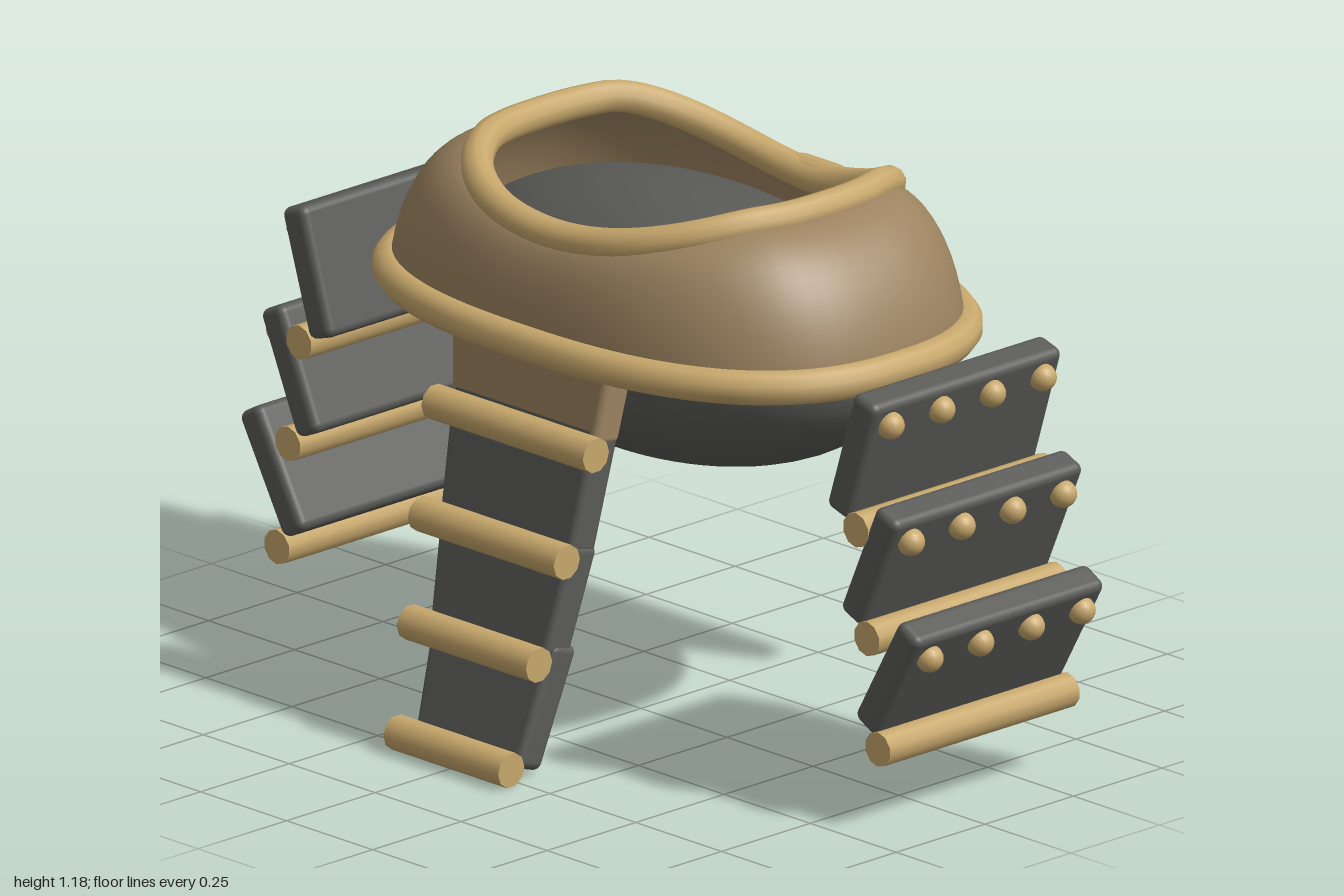
import * as THREE from 'three';
import { RoundedBoxGeometry } from 'three/addons/geometries/RoundedBoxGeometry.js';

const trim = new THREE.MeshStandardMaterial({ name: 'paleGoldTrim', color: 0xc8a86c });
const hide = new THREE.MeshStandardMaterial({ name: 'brownShell', color: 0x9c8360, side: THREE.DoubleSide });
const grey = new THREE.MeshStandardMaterial({ name: 'darkGrey', color: 0x5a5b57 });

function add(parent, name, geometry, material, x = 0, y = 0, z = 0) {
  const mesh = new THREE.Mesh(geometry, material);
  mesh.name = name;
  mesh.position.set(x, y, z);
  parent.add(mesh);
  return mesh;
}

// Rounded-off rectangle outline in the ground plane
function outline(a, rx, rz, cz, n = 2.5) {
  const c = Math.cos(a), s = Math.sin(a);
  return [
    rx * Math.sign(c) * Math.abs(c) ** (2 / n),
    cz + rz * Math.sign(s) * Math.abs(s) ** (2 / n),
  ];
}

const HEM_Y = 0.87;
function hemPoint(a) {
  const [x, z] = outline(a, 0.645, 0.435, -0.103);
  return new THREE.Vector3(x, HEM_Y, z);
}

// The collar dips at the front and deeper at the back
function collarPoint(a) {
  const [x, z] = outline(a, 0.41, 0.37, -0.12);
  const low = Math.sin(a) > 0 ? 1.08 : 1.025;
  const y = low + (1.152 - low) * Math.min(1, Math.abs(x) / 0.38) ** 1.8;
  return new THREE.Vector3(x, y, z);
}

// Domed shell lofted from hem to collar
function shellGeometry(cols = 72, rows = 12) {
  const pos = [], index = [];
  for (let i = 0; i <= rows; i++) {
    const t = (i / rows) * Math.PI / 2;
    const k = 0.8 * Math.cos(t) + 0.2 * (1 - i / rows);
    for (let j = 0; j < cols; j++) {
      const a = (j / cols) * Math.PI * 2;
      const h = hemPoint(a), c = collarPoint(a);
      pos.push(c.x + (h.x - c.x) * k, h.y + (c.y - h.y) * Math.sin(t), c.z + (h.z - c.z) * k);
      if (i < rows) {
        const p = i * cols + j, q = i * cols + (j + 1) % cols;
        index.push(p, p + cols, q, q, p + cols, q + cols);
      }
    }
  }
  const g = new THREE.BufferGeometry();
  g.setAttribute('position', new THREE.Float32BufferAttribute(pos, 3));
  g.setIndex(index);
  g.computeVertexNormals();
  return g;
}

function ringTube(pointAt, radius) {
  const pts = [];
  for (let i = 0; i < 48; i++) pts.push(pointAt((i / 48) * Math.PI * 2));
  return new THREE.TubeGeometry(new THREE.CatmullRomCurve3(pts, true), 120, radius, 10, true);
}

// Tapered plate running between two [y, z] points, with half widths at each end
function taperedPlate(parent, name, material, top, bottom, halfTop, halfBottom, thick) {
  const dy = top[0] - bottom[0], dz = top[1] - bottom[1];
  const len = Math.hypot(dy, dz);
  const g = new RoundedBoxGeometry(halfTop * 2, len, thick, 3, 0.018);
  const p = g.attributes.position;
  for (let i = 0; i < p.count; i++) {
    const t = p.getY(i) / len + 0.5;
    p.setX(i, p.getX(i) * (halfBottom / halfTop * (1 - t) + t));
  }
  const m = add(parent, name, g, material, 0, (top[0] + bottom[0]) / 2, (top[1] + bottom[1]) / 2);
  m.rotation.x = Math.atan2(dz, dy);
}

export function createModel() {
  const root = new THREE.Group();
  root.name = 'waistArmour';

  // Body
  const bowl = add(root, 'innerBowl', new THREE.SphereGeometry(1, 48, 32), grey, 0, 0.825, -0.1);
  bowl.scale.set(0.59, 0.28, 0.345);
  add(root, 'shell', shellGeometry(), hide);
  add(root, 'hemRoll', ringTube(hemPoint, 0.037), trim);
  add(root, 'collarRoll', ringTube(collarPoint, 0.034), trim);

  // Back closure hanging from the collar
  const tail = new THREE.CatmullRomCurve3([
    new THREE.Vector3(0, 1.03, -0.47), new THREE.Vector3(0, 1.02, -0.505),
    new THREE.Vector3(0, 0.96, -0.53), new THREE.Vector3(0, 0.87, -0.54),
  ]);
  add(root, 'backTail', new THREE.TubeGeometry(tail, 20, 0.032, 10), trim);
  const knot = add(root, 'backKnot', new THREE.CapsuleGeometry(0.034, 0.1, 4, 10), trim, 0, 1.03, -0.497);
  knot.rotation.z = Math.PI / 2;

  // Back plate
  taperedPlate(root, 'backPlate', grey, [0.925, -0.445], [0.495, -0.525], 0.385, 0.355, 0.075);

  // Front strap: rows of name, material, top, bottom, half widths
  const strap = new THREE.Group();
  strap.name = 'frontStrap';
  root.add(strap);
  [
    ['strapTop', hide, [0.9, 0.272], [0.69, 0.3], 0.24, 0.21],
    ['strapPlate', grey, [0.735, 0.293], [0.465, 0.35], 0.213, 0.193],
    ['strapPlate', grey, [0.485, 0.342], [0.25, 0.4], 0.197, 0.17],
    ['strapPlate', grey, [0.275, 0.38], [0.02, 0.462], 0.177, 0.152],
  ].forEach(([name, mat, a, b, w0, w1]) => taperedPlate(strap, name, mat, a, b, w0, w1, 0.074));
  [[0.69, 0.355, 0.235], [0.47, 0.415, 0.212], [0.257, 0.47, 0.188], [0.04, 0.528, 0.167]]
    .forEach(([y, z, half]) => {
      const bar = add(strap, 'strapBar', new THREE.CylinderGeometry(0.037, 0.037, half * 2, 10), trim, 0, y, z);
      bar.rotation.z = Math.PI / 2;
    });

  // Side guards: three leaning plates with studs and a bottom bar on each side
  const tiers = [
    { top: [0.834, 0.914], bottom: [0.751, 0.651], bar: [0.81, 0.631], stud: [0.858, 0.855] },
    { top: [0.898, 0.683], bottom: [0.789, 0.435], bar: [0.842, 0.406], stud: [0.917, 0.62] },
    { top: [0.962, 0.45], bottom: [0.829, 0.213], bar: [0.874, 0.177], stud: [0.971, 0.384] },
  ];
  const plateZ = -0.0875, depth = 0.535;
  for (const side of [1, -1]) {
    const guard = new THREE.Group();
    guard.name = side > 0 ? 'leftGuard' : 'rightGuard';
    root.add(guard);
    for (const { top, bottom, bar, stud } of tiers) {
      const dx = side * (top[0] - bottom[0]), dy = top[1] - bottom[1];
      const plate = add(guard, 'guardPlate',
        new RoundedBoxGeometry(0.07, Math.hypot(dx, dy), depth, 3, 0.018), grey,
        side * (top[0] + bottom[0]) / 2, (top[1] + bottom[1]) / 2, plateZ);
      plate.rotation.z = -Math.atan2(dx, dy);
      const roll = add(guard, 'guardBar', new THREE.CylinderGeometry(0.037, 0.037, depth, 10), trim,
        side * bar[0], bar[1], plateZ);
      roll.rotation.x = Math.PI / 2;
      for (let i = 0; i < 4; i++) {
        add(guard, 'stud', new THREE.SphereGeometry(0.029, 16, 12), trim,
          side * stud[0], stud[1], 0.128 - i * 0.143);
      }
    }
  }
  return root;
}
